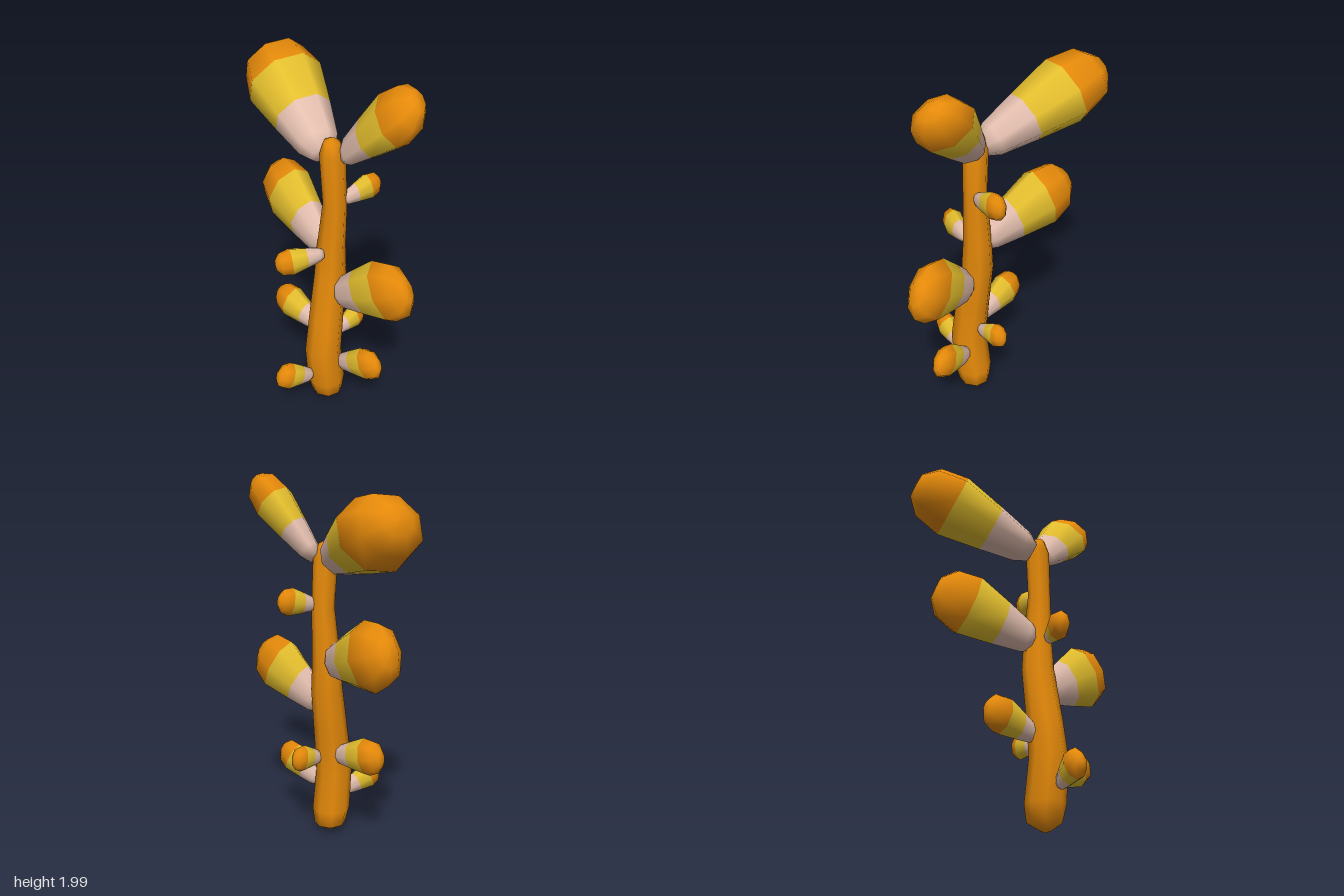
import * as THREE from 'three';
import { mergeVertices } from 'three/addons/utils/BufferGeometryUtils.js';

const material = (name, color) => {
  const m = new THREE.MeshStandardMaterial({ color });
  m.name = name;
  return m;
};

const SIDES = 8;

// Kernel profile: [radius, distance from narrow tip], unit size
const KERNEL = [[0, -0.01], [0.32, 0], [0.52, 0.09], [0.75, 0.36], [1, 0.69], [0.83, 0.9], [0.4, 1], [0, 1.01]];
// Profile bands: [first step, step count, material index]
const BANDS = [[0, 3, 0], [3, 1, 1], [4, 3, 2]];

// A flattened, tapered kernel running from tip to end; "wide" hints the broad direction
function kernel(name, { tip, end, w, d, wide = [0, 1, 0] }, materials) {
  const geo = new THREE.LatheGeometry(KERNEL.map(([r, y]) => new THREE.Vector2(r, y)), SIDES);
  const steps = KERNEL.length - 1;
  for (let i = 0; i < SIDES; i++) {
    for (const [start, count, m] of BANDS) geo.addGroup((i * steps + start) * 6, count * 6, m);
  }

  const a = new THREE.Vector3(...tip);
  const axis = new THREE.Vector3(...end).sub(a);
  const length = axis.length();
  axis.normalize();
  const broad = new THREE.Vector3(...wide);
  broad.addScaledVector(axis, -broad.dot(axis)).normalize();
  const thin = new THREE.Vector3().crossVectors(broad, axis);

  const matrix = new THREE.Matrix4().makeBasis(
    broad.multiplyScalar(w / 2), axis.multiplyScalar(length), thin.multiplyScalar(d / 2));
  matrix.setPosition(a);
  geo.applyMatrix4(matrix);
  const mesh = new THREE.Mesh(geo, materials);
  mesh.name = name;
  return mesh;
}

// Gently bent stalk: rings of [height, radius, centre x, centre z]
function stalk(mat) {
  const rings = [
    [0, 0, 0.1, 0.065], [0.012, 0.03, 0.1, 0.065], [0.05, 0.088, 0.097, 0.06], [0.14, 0.105, 0.096, 0.069],
    [0.37, 0.1, 0.096, 0.095], [0.6, 0.094, 0.095, 0.068], [0.86, 0.086, 0.092, 0.032],
    [1.03, 0.076, 0.094, 0.03], [1.31, 0.062, 0.113, 0.027], [1.58, 0.065, 0.098, 0.031],
    [1.65, 0.04, 0.095, 0.036], [1.67, 0, 0.095, 0.036],
  ];
  let geo = new THREE.LatheGeometry(rings.map(([y, r]) => new THREE.Vector2(r, y)), SIDES);
  const pos = geo.attributes.position;
  for (let i = 0; i < pos.count; i++) {
    const [, , cx, cz] = rings[i % rings.length];
    pos.setX(i, pos.getX(i) + cx);
    pos.setZ(i, pos.getZ(i) + cz);
  }
  // Weld the seam so the shading stays smooth all round
  geo.deleteAttribute('normal');
  geo.deleteAttribute('uv');
  geo = mergeVertices(geo);
  geo.computeVertexNormals();
  const mesh = new THREE.Mesh(geo, mat);
  mesh.name = 'stalk';
  return mesh;
}

export function createModel() {
  const orange = material('orange', 0xe68a0a);
  const yellow = material('yellow', 0xe4bf2e);
  const pink = material('palePink', 0xe4bfaf);
  const bands = [pink, yellow, orange];

  const kernels = {
    topRightKernel: { tip: [0.045, 1.565, 0.035], end: [-0.57, 1.835, -0.255], w: 0.41, d: 0.36, wide: [-0.55, -0.4, 0.73] },
    topLeftKernel: { tip: [0.145, 1.575, 0], end: [0.515, 1.955, -0.04], w: 0.3, d: 0.22, wide: [0.54, -0.55, 0.64] },
    middleRightKernel: { tip: [0.06, 1.015, 0.03], end: [-0.47, 1.2, -0.16], w: 0.37, d: 0.26 },
    middleLeftKernel: { tip: [0.15, 0.755, 0.045], end: [0.585, 1.0, 0.04], w: 0.35, d: 0.2 },
    lowerRightKernel: { tip: [0.04, 0.48, 0.055], end: [-0.28, 0.555, 0.035], w: 0.21, d: 0.15 },
    lowerLeftKernel: { tip: [0.175, 0.285, 0.05], end: [0.445, 0.42, 0.05], w: 0.2, d: 0.12 },
    lowerFrontKernel: { tip: [0.08, 0.215, 0.175], end: [0.005, 0.3, 0.37], w: 0.17, d: 0.115 },
    middleFrontKernel: { tip: [0.1, 1.03, 0.1], end: [-0.035, 1.01, 0.315], w: 0.16, d: 0.115 },
    upperBackKernel: { tip: [0.145, 1.325, 0], end: [0.21, 1.37, -0.205], w: 0.15, d: 0.1 },
    lowerBackKernel: { tip: [0.12, 0.46, 0.005], end: [0.145, 0.5, -0.18], w: 0.15, d: 0.1 },
  };

  const group = new THREE.Group();
  group.name = 'kernelPlant';
  group.add(stalk(orange));
  for (const [name, spec] of Object.entries(kernels)) group.add(kernel(name, spec, bands));
  return group;
}
